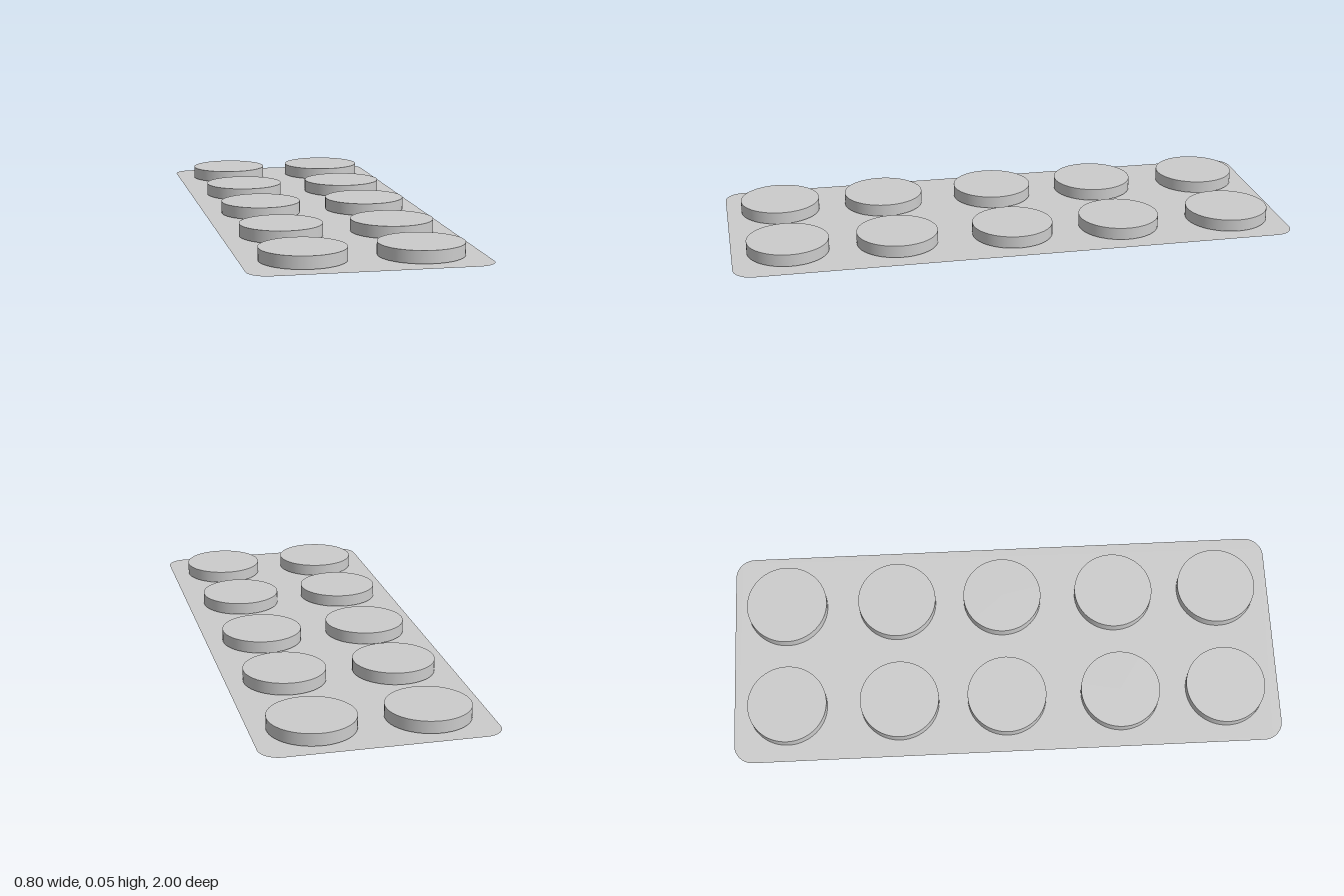
import * as THREE from 'three';

const HALF_W = 0.4, HALF_L = 1, CORNER = 0.07;
const BASE = 0.003, TOP = 0.046;

// Rectangle with rounded corners, centred on the origin
function roundedRect(w, l, r) {
  const s = new THREE.Shape();
  s.absarc(w - r, l - r, r, 0, Math.PI / 2);
  s.absarc(-w + r, l - r, r, Math.PI / 2, Math.PI);
  s.absarc(-w + r, -l + r, r, Math.PI, Math.PI * 1.5);
  s.absarc(w - r, -l + r, r, Math.PI * 1.5, Math.PI * 2);
  s.closePath();
  return s;
}

export function createModel() {
  const group = new THREE.Group();
  group.name = 'blisterPack';
  const material = new THREE.MeshStandardMaterial({ color: 0xcccccc, side: THREE.DoubleSide });

  // Paper-thin backing sheet
  const sheetGeometry = new THREE.ShapeGeometry(roundedRect(HALF_W, HALF_L, CORNER), 8);
  sheetGeometry.rotateX(-Math.PI / 2);
  const sheet = new THREE.Mesh(sheetGeometry, material);
  sheet.name = 'backingSheet';
  group.add(sheet);

  // Two columns of five round blisters, slightly unevenly spaced
  const height = TOP - BASE;
  const blisterGeometry = new THREE.CylinderGeometry(0.144, 0.144, height, 64);
  const blisters = new THREE.Group();
  blisters.name = 'blisters';
  for (const x of [-0.195, 0.195]) {
    for (const z of [-0.803, -0.393, 0, 0.416, 0.802]) {
      const blister = new THREE.Mesh(blisterGeometry, material);
      blister.name = 'blister';
      blister.position.set(x, BASE + height / 2, z);
      // The back blister on the left is a touch larger
      if (x > 0 && z < -0.8) blister.scale.set(1.03, 1, 1.03);
      blisters.add(blister);
    }
  }
  group.add(blisters);
  return group;
}
